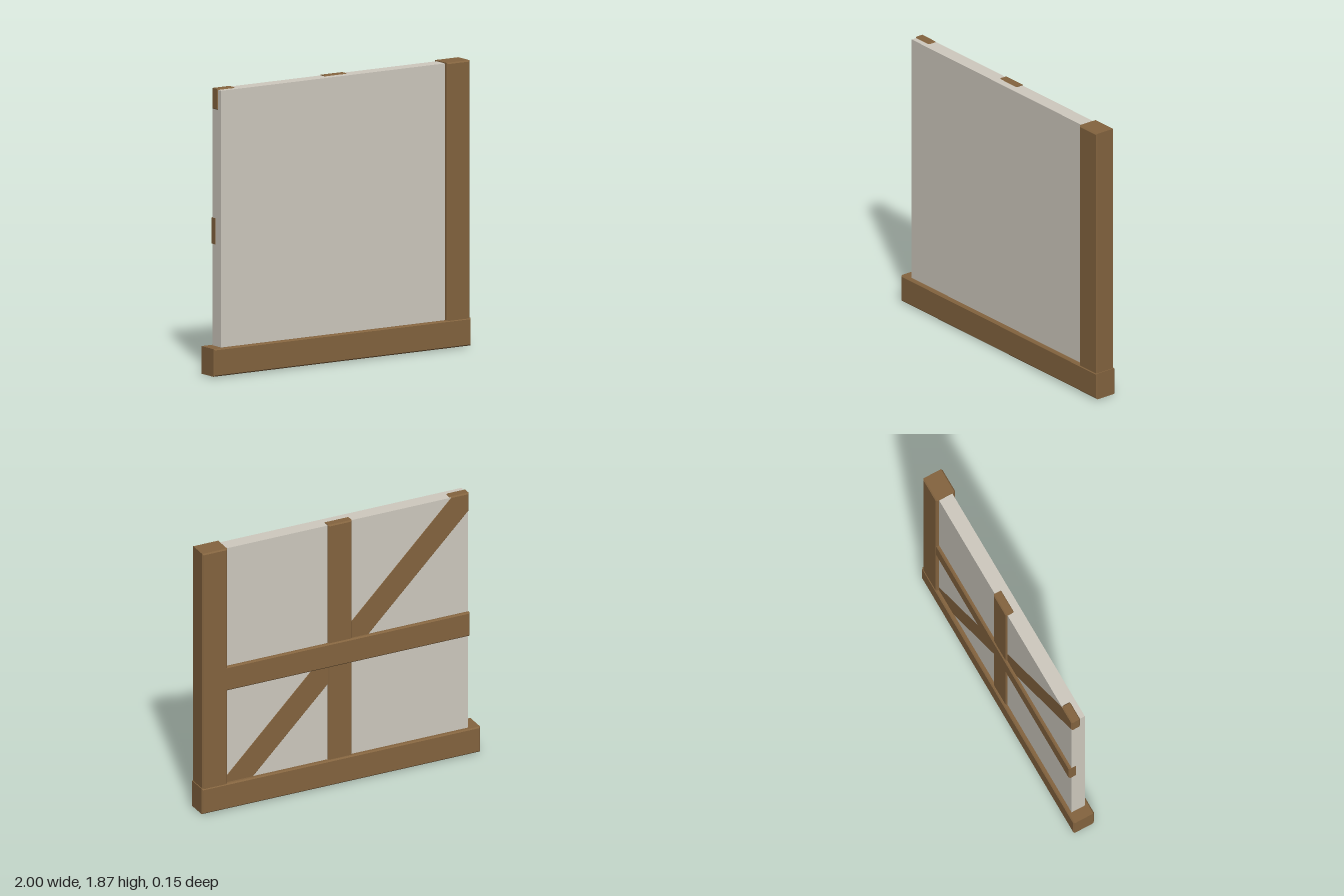
import * as THREE from 'three';

const wood = new THREE.MeshStandardMaterial({ color: 0x84643f, flatShading: true });
const plaster = new THREE.MeshStandardMaterial({ color: 0xcfcabf, flatShading: true });
const BEVEL = 0.008;

// Chamfered board: an outline in x/y, extruded between two z depths
function board(name, points, z0, z1) {
  const shape = new THREE.Shape(points.map(([x, y]) => new THREE.Vector2(x, y)));
  const geometry = new THREE.ExtrudeGeometry(shape, {
    depth: z1 - z0 - 2 * BEVEL,
    bevelEnabled: true,
    bevelSegments: 1,
    bevelSize: BEVEL,
    bevelThickness: BEVEL,
    bevelOffset: -BEVEL,
  });
  geometry.translate(0, 0, z0 + BEVEL);
  const mesh = new THREE.Mesh(geometry, wood);
  mesh.name = name;
  return mesh;
}

const rect = (x0, x1, y0, y1) => [[x0, y0], [x1, y0], [x1, y1], [x0, y1]];

export function createModel() {
  const group = new THREE.Group();
  group.name = 'timberWall';

  // Plain wall panel
  const panel = new THREE.Mesh(new THREE.BoxGeometry(1.82, 1.76, 0.097), plaster);
  panel.name = 'panel';
  panel.position.set(-0.015, 0.98, -0.0015);
  group.add(panel);

  // Main frame: sill along the bottom and post on one side
  group.add(board('sill', rect(-1, 1, 0.008, 0.188), -0.076, 0.076));
  group.add(board('post', rect(0.815, 0.994, 0.02, 1.866), -0.071, 0.071));

  // Bracing on the back face
  group.add(board('rail', rect(-0.927, 0.85, 0.85, 1.02), -0.07, -0.01));
  group.add(board('stud', rect(-0.085, 0.085, 0.004, 1.864), -0.061, 0.001));
  group.add(board('diagonalBrace', [
    [0.8, 0], [0.925, 0], [0.925, 0.13],
    [-0.8, 1.866], [-0.93, 1.866], [-0.93, 1.735],
  ], -0.052, 0.013));

  return group;
}
